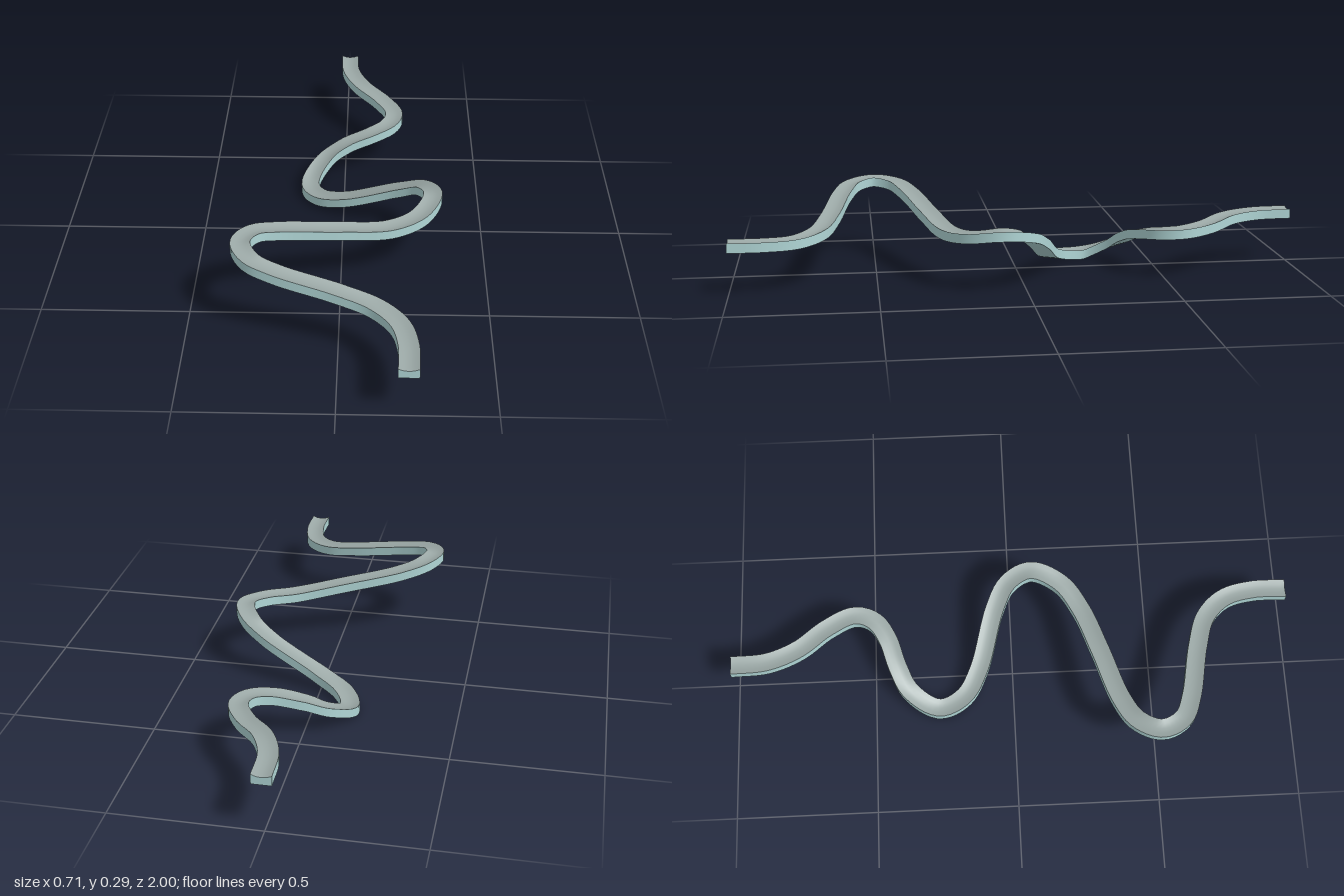
import * as THREE from 'three';

const HALF = 0.033, DEPTH = 0.034, DIP = 0.008, STEPS = 180;

// Surface through rows of points, smooth within one call
function grid(rows) {
  const n = rows[0].length, index = [];
  for (let i = 0; i < rows.length - 1; i++) {
    for (let j = 0; j < n - 1; j++) {
      const a = i * n + j, c = a + n;
      index.push(a, a + 1, c, a + 1, c + 1, c);
    }
  }
  const geometry = new THREE.BufferGeometry().setFromPoints(rows.flat());
  geometry.setIndex(index);
  geometry.computeVertexNormals();
  return geometry;
}

export function createModel() {
  const group = new THREE.Group();
  group.name = 'windingTrack';
  const wall = new THREE.MeshStandardMaterial({ color: 0xb0d6d6, side: THREE.DoubleSide });
  wall.name = 'pale teal';
  const bed = new THREE.MeshStandardMaterial({ color: 0x9ba8a6, side: THREE.DoubleSide });
  bed.name = 'warm grey';

  // Centre line at rim height, from the front end to the back end
  const path = new THREE.CatmullRomCurve3([
    [0.22, 0.179, 1], [0.22, 0.179, 0.88], [0.193, 0.18, 0.775], [0.12, 0.191, 0.7],
    [0, 0.215, 0.658], [-0.2, 0.255, 0.613], [-0.285, 0.275, 0.575], [-0.322, 0.286, 0.5],
    [-0.285, 0.278, 0.42], [-0.2, 0.257, 0.37], [0, 0.219, 0.31], [0.17, 0.191, 0.253],
    [0.27, 0.198, 0.187], [0.318, 0.214, 0.08], [0.28, 0.197, -0.005], [0.2, 0.155, -0.055],
    [0, 0.068, -0.122], [-0.092, 0.04, -0.18], [-0.13, 0.034, -0.27], [-0.078, 0.082, -0.37],
    [0, 0.125, -0.412], [0.1, 0.155, -0.445], [0.165, 0.168, -0.49], [0.187, 0.174, -0.56],
    [0.14, 0.18, -0.66], [0.06, 0.192, -0.76], [0.015, 0.196, -0.87], [0.007, 0.197, -1],
  ].map(p => new THREE.Vector3(...p)), false, 'centripetal');

  const top = [], bottom = [];
  for (let i = 0; i <= STEPS; i++) {
    const p = path.getPointAt(i / STEPS), t = path.getTangentAt(i / STEPS);
    // Keep the cross-section level, and the two ends square
    const side = new THREE.Vector3(-t.z, 0, t.x).normalize();
    if (i === 0 || i === STEPS) side.set(1, 0, 0);
    const across = [-1, -0.5, 0, 0.5, 1];
    top.push(across.map(u => p.clone().addScaledVector(side, u * HALF)
      .add(new THREE.Vector3(0, -DIP * (1 - u * u), 0))));
    bottom.push(across.map(u => p.clone().addScaledVector(side, u * HALF)
      .add(new THREE.Vector3(0, -DEPTH, 0))));
  }

  const add = (name, rows, material) => {
    const mesh = new THREE.Mesh(grid(rows), material);
    mesh.name = name;
    group.add(mesh);
  };
  // Shallow hollow running surface
  add('trackBed', top, bed);
  // Walls, underside and end faces
  add('leftWall', top.map((r, i) => [r[4], bottom[i][4]]), wall);
  add('rightWall', top.map((r, i) => [bottom[i][0], r[0]]), wall);
  add('underside', bottom.map(r => [r[4], r[0]]), wall);
  add('frontEnd', [bottom[0], top[0]], wall);
  add('backEnd', [top[STEPS], bottom[STEPS]], wall);
  return group;
}
